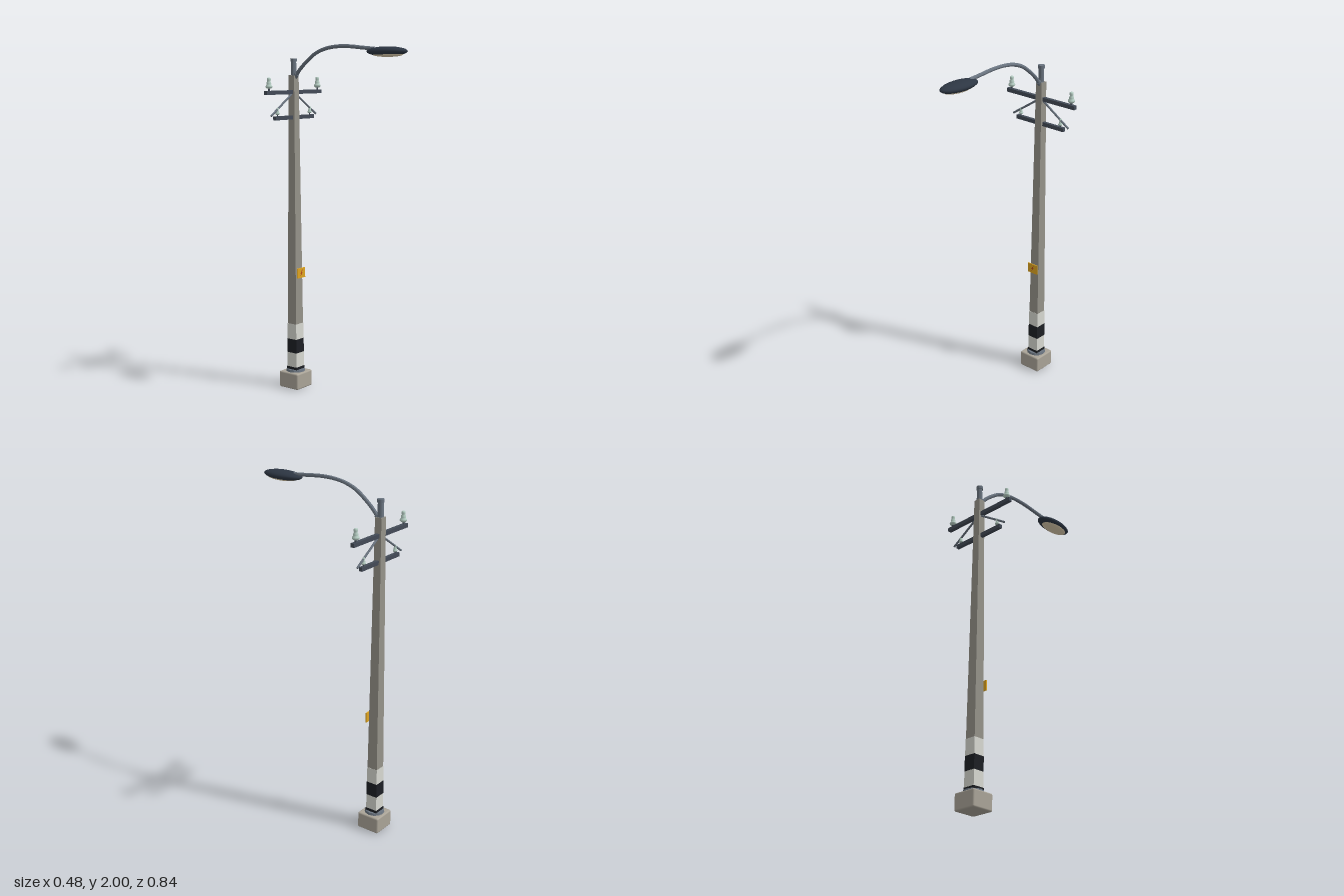
import * as THREE from 'three';
import { RoundedBoxGeometry } from 'three/addons/geometries/RoundedBoxGeometry.js';

const mat = (color, flatShading = false) => new THREE.MeshStandardMaterial({ color, flatShading });
const concrete = mat(0x96938a, true), footing = mat(0xaaa498), steel = mat(0x6a7480, true);
const darkSteel = mat(0x434b57), white = mat(0xd8d9d2, true), black = mat(0x1c1f24, true);
const housing = mat(0x2d3643), glass = mat(0xe0d0b0), porcelain = mat(0xb8d0c6);
const yellow = mat(0xe0a520), red = mat(0xa82a1c);

const PZ = -0.352; // pole axis
const POLE_BASE = 0.1, POLE_TOP = 1.83;
const halfWidth = y => THREE.MathUtils.mapLinear(y, POLE_BASE, POLE_TOP, 0.034, 0.02);

export function createModel() {
  const model = new THREE.Group();
  model.name = 'streetLight';

  const add = (name, geometry, material, x = 0, y = 0, z = PZ, parent = model) => {
    const mesh = new THREE.Mesh(geometry, material);
    mesh.name = name;
    mesh.position.set(x, y, z);
    parent.add(mesh);
    return mesh;
  };

  // Square length of the tapered pole between two heights
  const poleSection = (name, y0, y1, grow, material) => {
    const r = y => (halfWidth(y) + grow) * Math.SQRT2;
    const geo = new THREE.CylinderGeometry(r(y1), r(y0), y1 - y0, 4).rotateY(Math.PI / 4);
    return add(name, geo, material, 0, (y0 + y1) / 2);
  };

  // Round rod between two points
  const rod = (name, a, b, radius, material) => {
    const dir = b.clone().sub(a);
    const mid = a.clone().add(b).multiplyScalar(0.5);
    const mesh = add(name, new THREE.CylinderGeometry(radius, radius, dir.length(), 8), material, mid.x, mid.y, mid.z);
    mesh.quaternion.setFromUnitVectors(new THREE.Vector3(0, 1, 0), dir.normalize());
    return mesh;
  };

  // Footing, flange and pole
  add('footing', new RoundedBoxGeometry(0.138, 0.096, 0.138, 2, 0.009), footing, 0, 0.048);
  add('baseFlange', new THREE.CylinderGeometry(0.053, 0.057, 0.014, 12), steel, 0, 0.102);
  poleSection('pole', POLE_BASE, POLE_TOP, 0, concrete);
  poleSection('baseCollar', 0.108, 0.124, 0.003, black);
  poleSection('lowerWhiteBand', 0.124, 0.21, 0.001, white);
  poleSection('blackBand', 0.21, 0.292, 0.0015, black);
  poleSection('upperWhiteBand', 0.292, 0.384, 0.001, white);

  // Pole-top pipe with cap
  add('topPipe', new THREE.CylinderGeometry(0.015, 0.017, 0.1, 12), steel, 0, 1.866);
  add('pipeCap', new THREE.CylinderGeometry(0.019, 0.019, 0.018, 12), steel, 0, 1.916);

  // Warning plate with a bolt mark
  add('warningPlate', new THREE.BoxGeometry(0.07, 0.058, 0.006), yellow, 0, 0.69, -0.307);
  add('plateBracket', new THREE.BoxGeometry(0.016, 0.016, 0.016), darkSteel, 0, 0.69, -0.317);
  const bolt = new THREE.Shape([[0.009, 0.02], [-0.008, -0.002], [0, -0.002], [-0.009, -0.02], [0.008, 0.003], [0.001, 0.003]]
    .map(([x, y]) => new THREE.Vector2(x, y)));
  add('boltMark', new THREE.ExtrudeGeometry(bolt, { depth: 0.001, bevelEnabled: false }), red, 0, 0.69, -0.304);

  // Crossarms
  add('upperCrossarm', new THREE.BoxGeometry(0.484, 0.022, 0.022), darkSteel, 0, 1.735);
  add('lowerCrossarm', new THREE.BoxGeometry(0.338, 0.022, 0.02), darkSteel, 0, 1.592);

  // Insulators on pins, and diagonal braces, mirrored left and right
  const profile = [[0, 0.014], [0.012, 0.014], [0.02, 0.022], [0.019, 0.029], [0.013, 0.035], [0.014, 0.04],
    [0.012, 0.05], [0.009, 0.054], [0.011, 0.06], [0.011, 0.07], [0.007, 0.074], [0, 0.075]]
    .map(([x, y]) => new THREE.Vector2(x, y));
  const insulatorGeo = new THREE.LatheGeometry(profile, 12);
  const pinGeo = new THREE.CylinderGeometry(0.005, 0.005, 0.022, 8);
  const insulator = (name, x, y, scale) => {
    const group = new THREE.Group();
    group.name = name;
    group.position.set(x, y, PZ);
    group.scale.setScalar(scale);
    add('pin', pinGeo, darkSteel, 0, 0.008, 0, group);
    add('insulatorBody', insulatorGeo, porcelain, 0, 0, 0, group);
    model.add(group);
  };
  for (const [side, s] of [['left', 1], ['right', -1]]) {
    insulator(side + 'UpperInsulator', s * 0.214, 1.744, 1);
    insulator(side + 'LowerInsulator', s * 0.143, 1.602, 0.64);
    rod(side + 'Brace', new THREE.Vector3(0, 1.736, PZ), new THREE.Vector3(s * 0.198, 1.606, PZ), 0.006, steel);
  }

  // Curved lamp arm
  const path = new THREE.CatmullRomCurve3([
    [1.815, -0.345], [1.86, -0.308], [1.908, -0.255], [1.953, -0.19], [1.979, -0.115],
    [1.989, -0.04], [1.989, 0.04], [1.981, 0.13], [1.974, 0.215],
  ].map(([y, z]) => new THREE.Vector3(0, y, z)));
  add('lampArm', new THREE.TubeGeometry(path, 32, 0.0105, 8), steel, 0, 0, 0);
  rod('armSocket', path.getPoint(0), path.getPoint(0.06), 0.014, steel);

  // Lamp head: long oval shell with a pale lens below
  const shell = add('lampHousing', new THREE.SphereGeometry(1, 20, 12), housing, 0, 1.96, 0.292);
  shell.scale.set(0.056, 0.026, 0.128);
  const lens = add('lampLens', new THREE.SphereGeometry(1, 20, 10), glass, 0, 1.946, 0.297);
  lens.scale.set(0.044, 0.016, 0.1);

  return model;
}
